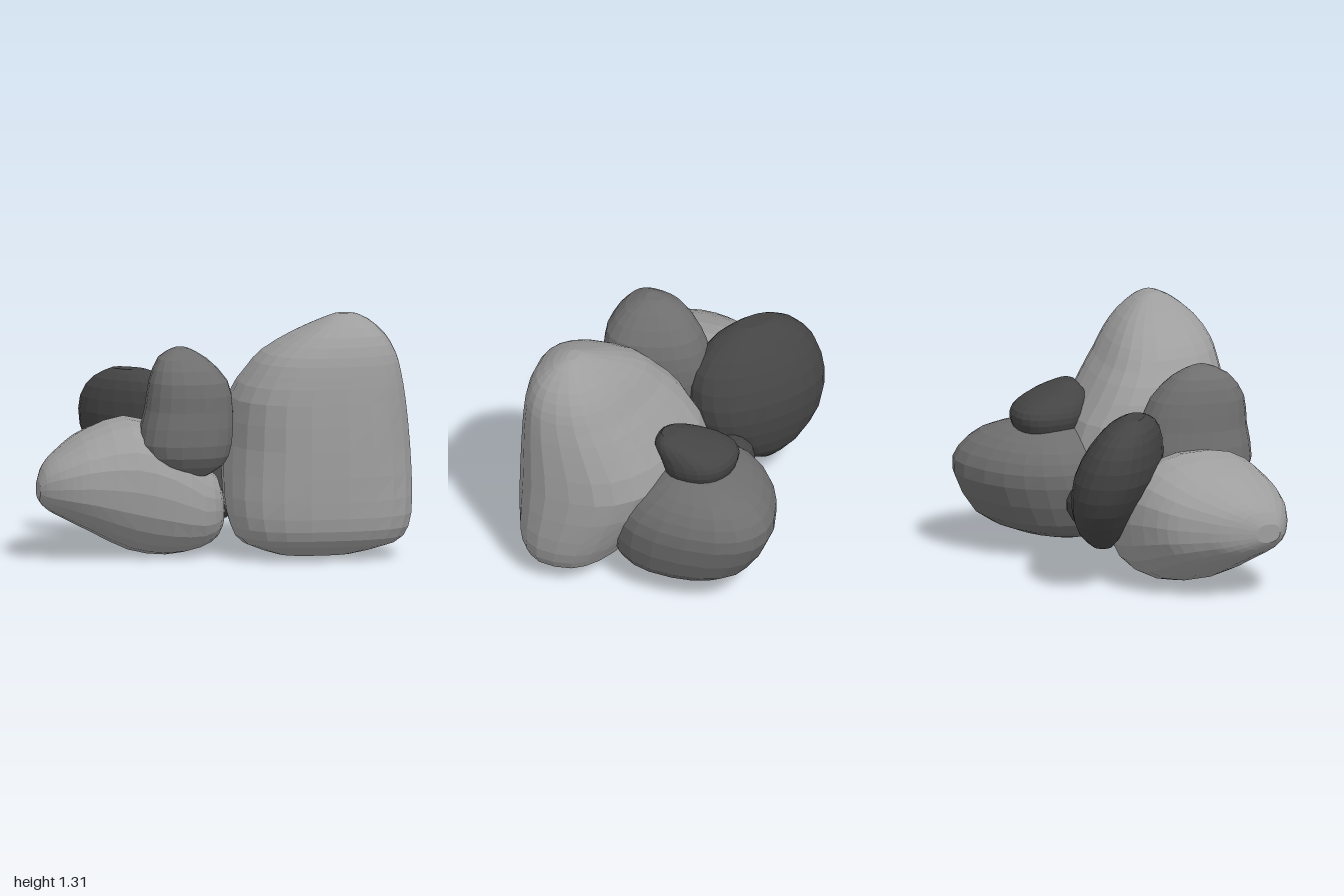
import * as THREE from 'three';

const rgb = { lightStone: 0x9e9e9e, midStone: 0x6e6e6e, darkStone: 0x444444 };
const SEGMENTS = 22;

// Smooth interpolation of one value between cross-sections
function spline(a, b, c, d, t) {
  return b + 0.5 * t * (c - a + t * (2 * a - 5 * b + 4 * c - d + t * (3 * (b - c) + d - a)));
}

// Loft rounded cross-sections [height, cx, cz, rx, rz] into a closed boulder
function boulder(keys, { power = 0.85, skew = 0, taper = 0, alongX = false } = {}) {
  const rings = [];
  const key = (i) => keys[Math.min(Math.max(i, 0), keys.length - 1)];
  for (let i = 0; i < keys.length - 1; i++) {
    for (const t of [0, 0.5]) {
      rings.push(key(i).map((v, k) => spline(key(i - 1)[k], v, key(i + 1)[k], key(i + 2)[k], t)));
    }
  }
  rings.push(keys[keys.length - 1]);

  // Unit outline, skewed mostly at the rear and tapered, then refitted to its bounds
  const round = (v) => Math.sign(v) * Math.abs(v) ** power;
  const outline = [];
  for (let j = 0; j < SEGMENTS; j++) {
    const a = (j / SEGMENTS) * Math.PI * 2;
    const u = round(Math.cos(a)), w = round(Math.sin(a));
    outline.push([u * (1 + taper * w), w + skew * u * (1 - w)]);
  }
  const maxU = Math.max(...outline.map((p) => Math.abs(p[0])));
  const front = Math.max(...outline.map((p) => p[1]));
  const rear = -Math.min(...outline.map((p) => p[1]));

  const positions = [], index = [];
  const put = (x, y, z) => (alongX ? positions.push(y, z, x) : positions.push(x, y, z));
  for (const [h, cx, cz, rx, rz] of rings) {
    for (const [u, w] of outline) put(cx + (rx * u) / maxU, h, cz + (rz * w) / (w < 0 ? rear : front));
  }
  const first = rings[0], last = rings[rings.length - 1];
  put(first[1], first[0], first[2]);
  put(last[1], last[0], last[2]);
  const bottom = rings.length * SEGMENTS, top = bottom + 1;
  const lastRow = (rings.length - 1) * SEGMENTS;
  for (let j = 0; j < SEGMENTS; j++) {
    const n = (j + 1) % SEGMENTS;
    for (let i = 0; i < rings.length - 1; i++) {
      const a = i * SEGMENTS + j, b = i * SEGMENTS + n;
      index.push(a, a + SEGMENTS, b, b, a + SEGMENTS, b + SEGMENTS);
    }
    index.push(bottom, j, n, top, lastRow + n, lastRow + j);
  }
  const geometry = new THREE.BufferGeometry();
  geometry.setAttribute('position', new THREE.Float32BufferAttribute(positions, 3));
  geometry.setIndex(index);
  geometry.computeVertexNormals();
  return geometry;
}

export function createModel() {
  const group = new THREE.Group();
  group.name = 'rockPile';
  const materials = {};
  for (const [name, color] of Object.entries(rgb)) {
    materials[name] = new THREE.MeshStandardMaterial({ color, flatShading: true });
    materials[name].name = name;
  }
  const add = (name, material, keys, options) => {
    const mesh = new THREE.Mesh(boulder(keys, options), materials[material]);
    mesh.name = name;
    group.add(mesh);
    return mesh;
  };

  // Tall standing boulder, undercut at the back
  add('tallBoulder', 'lightStone', [
    [0.025, 0.46, 0.42, 0.20, 0.12],
    [0.08, 0.49, 0.375, 0.40, 0.26],
    [0.17, 0.50, 0.365, 0.47, 0.325],
    [0.33, 0.50, 0.315, 0.495, 0.39],
    [0.60, 0.505, 0.245, 0.485, 0.46],
    [0.85, 0.50, 0.305, 0.46, 0.39],
    [1.00, 0.525, 0.355, 0.405, 0.325],
    [1.10, 0.55, 0.38, 0.35, 0.28],
    [1.20, 0.595, 0.405, 0.245, 0.205],
    [1.28, 0.63, 0.42, 0.12, 0.10],
    [1.31, 0.63, 0.42, 0.05, 0.03],
  ], { power: 0.8, skew: 0.16 });

  // Round boulder behind it
  add('rearBoulder', 'midStone', [
    [0.07, 0.55, -0.15, 0.10, 0.10],
    [0.105, 0.55, -0.15, 0.25, 0.26],
    [0.20, 0.55, -0.20, 0.36, 0.39],
    [0.42, 0.55, -0.26, 0.41, 0.45],
    [0.55, 0.55, -0.29, 0.38, 0.39],
    [0.64, 0.55, -0.30, 0.30, 0.27],
    [0.69, 0.55, -0.27, 0.18, 0.15],
  ], { skew: -0.12 });

  // Low wedge lying on its side, sections run along x as [x, cz, cy, rz, ry]
  add('lowBoulder', 'lightStone', [
    [-1.00, 0.25, 0.375, 0.07, 0.05],
    [-0.97, 0.22, 0.385, 0.14, 0.10],
    [-0.93, 0.19, 0.39, 0.205, 0.138],
    [-0.88, 0.17, 0.395, 0.26, 0.17],
    [-0.80, 0.135, 0.40, 0.33, 0.218],
    [-0.70, 0.11, 0.40, 0.375, 0.27],
    [-0.50, 0.09, 0.38, 0.41, 0.35],
    [-0.30, 0.10, 0.33, 0.40, 0.33],
    [-0.12, 0.10, 0.26, 0.33, 0.23],
    [-0.02, 0.10, 0.25, 0.22, 0.165],
    [0.02, 0.10, 0.23, 0.09, 0.07],
  ], { alongX: true });

  // Upright stone resting on the wedge
  add('upperStone', 'midStone', [
    [0.42, -0.20, 0.22, 0.08, 0.10],
    [0.50, -0.21, 0.22, 0.20, 0.25],
    [0.62, -0.215, 0.215, 0.25, 0.305],
    [0.80, -0.195, 0.22, 0.235, 0.285],
    [0.95, -0.20, 0.24, 0.21, 0.25],
    [1.07, -0.23, 0.25, 0.13, 0.155],
    [1.12, -0.23, 0.25, 0.04, 0.05],
  ], { taper: 0.24 });

  // Dark slab leaning diagonally at the back
  const slab = add('leaningSlab', 'darkStone', [
    [0.21, 0, -0.07, 0.06, 0.05],
    [0.30, 0, -0.07, 0.20, 0.12],
    [0.45, 0, -0.04, 0.34, 0.18],
    [0.62, 0, 0.01, 0.39, 0.215],
    [0.78, -0.01, 0.055, 0.355, 0.18],
    [0.89, -0.03, 0.09, 0.24, 0.12],
    [0.945, -0.05, 0.11, 0.10, 0.05],
  ], { power: 0.9 });
  slab.position.set(-0.31, 0, -0.3);
  slab.rotation.y = -0.72;

  // Small stone wedged on top of the rear boulder
  add('perchedStone', 'darkStone', [
    [0.58, 0.54, -0.26, 0.06, 0.06],
    [0.64, 0.54, -0.26, 0.15, 0.16],
    [0.72, 0.54, -0.265, 0.19, 0.195],
    [0.78, 0.545, -0.25, 0.185, 0.20],
    [0.83, 0.56, -0.20, 0.155, 0.17],
    [0.87, 0.58, -0.15, 0.11, 0.10],
    [0.90, 0.59, -0.11, 0.05, 0.04],
  ], { skew: 0.06 });

  // Small stone filling the gap
  add('gapStone', 'darkStone', [
    [0.15, 0.06, -0.14, 0.03, 0.04],
    [0.22, 0.06, -0.17, 0.085, 0.13],
    [0.33, 0.045, -0.21, 0.115, 0.18],
    [0.43, 0.03, -0.25, 0.09, 0.13],
    [0.48, 0.02, -0.27, 0.03, 0.04],
  ]);

  return group;
}
